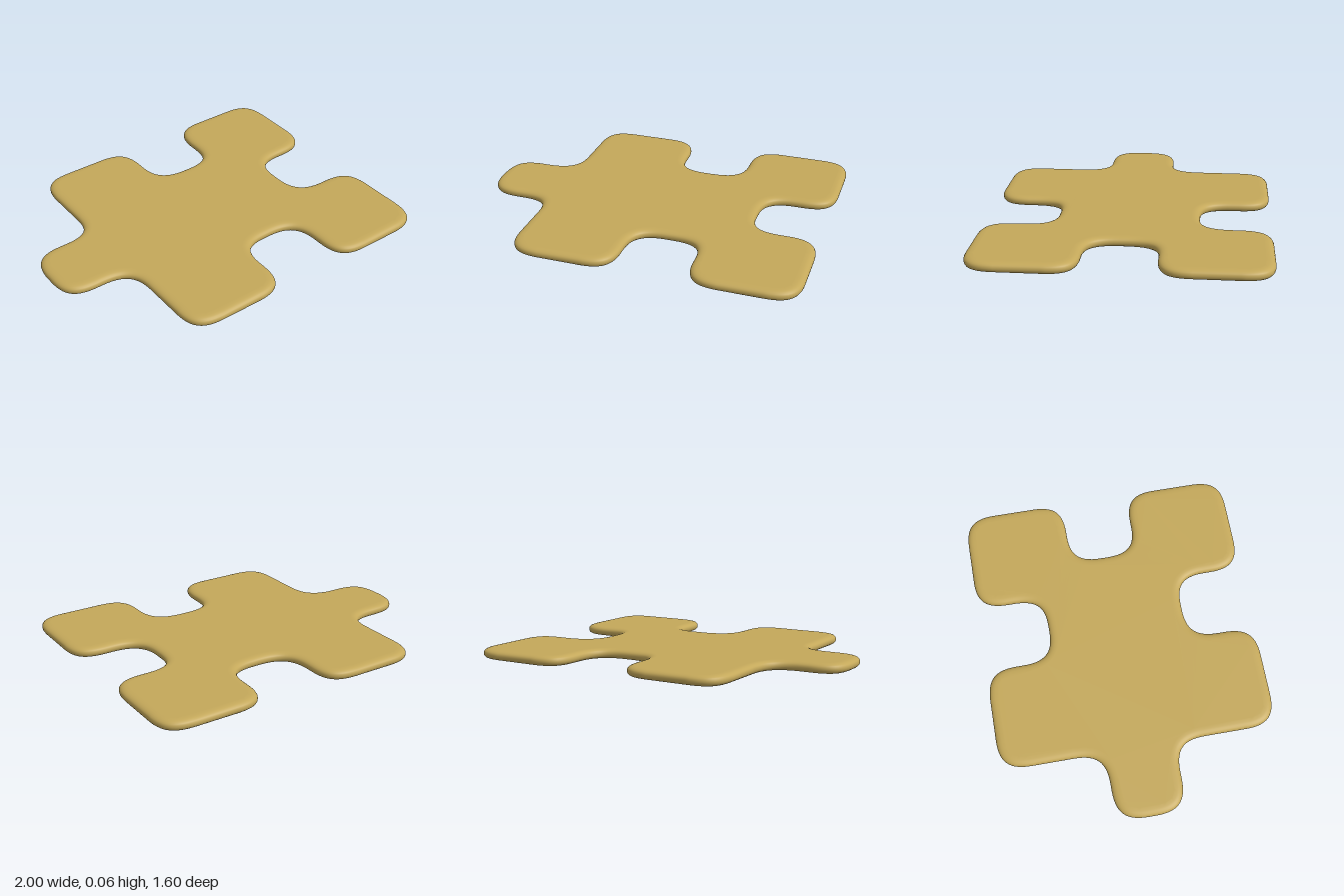
import * as THREE from 'three';

const HEIGHT = 0.058; // thickness of the plate
const EDGE = 0.05;    // width of the rounded rim
const CORNER = 0.18;  // reach of each corner curve

// Square-cornered outline in x, z, with mirrored front and back halves
const backHalf = [
  [-1, -0.2], [-0.6, -0.2], [-0.6, -0.8], [0, -0.8], [0, -0.4],
  [0.4, -0.4], [0.4, -0.8], [1, -0.8], [1, -0.2], [0.6, -0.2],
];

// Rounded outline: points with their outward normals
function roundedOutline() {
  const corners = [...backHalf, ...backHalf.map(([x, z]) => [x, -z]).reverse()]
    .map(([x, z]) => new THREE.Vector2(x, z));
  const outline = [];
  const steps = 14;
  corners.forEach((corner, i) => {
    const prev = corners[(i + corners.length - 1) % corners.length];
    const next = corners[(i + 1) % corners.length];
    const toPrev = prev.clone().sub(corner).normalize();
    const toNext = next.clone().sub(corner).normalize();
    const along = (dir, d) => corner.clone().addScaledVector(dir, d);
    const curve = new THREE.CubicBezierCurve(
      along(toPrev, CORNER), along(toPrev, CORNER * 0.28),
      along(toNext, CORNER * 0.28), along(toNext, CORNER));
    for (let s = 0; s <= steps; s++) {
      const t = curve.getTangent(s / steps);
      outline.push({ point: curve.getPoint(s / steps), normal: new THREE.Vector2(t.y, -t.x) });
    }
  });
  return outline;
}

function pieceGeometry() {
  const outline = roundedOutline();
  const n = outline.length;
  const rings = 12;
  const positions = [];
  const index = [];

  // Rim: inset rings from the underside to the top
  for (let k = 0; k <= rings; k++) {
    const a = (k / rings - 0.5) * Math.PI;
    const inset = EDGE * (1 - Math.pow(Math.max(0, Math.cos(a)), 0.85));
    const rise = Math.sign(Math.sin(a)) * Math.pow(Math.abs(Math.sin(a)), 0.85);
    for (const { point, normal } of outline) {
      positions.push(point.x - normal.x * inset, HEIGHT / 2 * (1 + rise), point.y - normal.y * inset);
    }
  }
  for (let k = 0; k < rings; k++) {
    for (let i = 0; i < n; i++) {
      const a = k * n + i, b = k * n + (i + 1) % n;
      index.push(a, a + n, b, b, a + n, b + n);
    }
  }

  // Flat underside and top, sharing the end rings
  const inner = outline.map(({ point, normal }) => point.clone().addScaledVector(normal, -EDGE));
  const top = rings * n;
  for (const [a, b, c] of THREE.ShapeUtils.triangulateShape(inner, [])) {
    index.push(a, b, c, top + a, top + c, top + b);
  }

  const geometry = new THREE.BufferGeometry();
  geometry.setAttribute('position', new THREE.Float32BufferAttribute(positions, 3));
  geometry.setIndex(index);
  geometry.computeVertexNormals();
  return geometry;
}

export function createModel() {
  const group = new THREE.Group();
  group.name = 'puzzlePiece';
  const plate = new THREE.Mesh(pieceGeometry(), new THREE.MeshStandardMaterial({ color: 0xc4a85a }));
  plate.name = 'plate';
  group.add(plate);
  return group;
}
